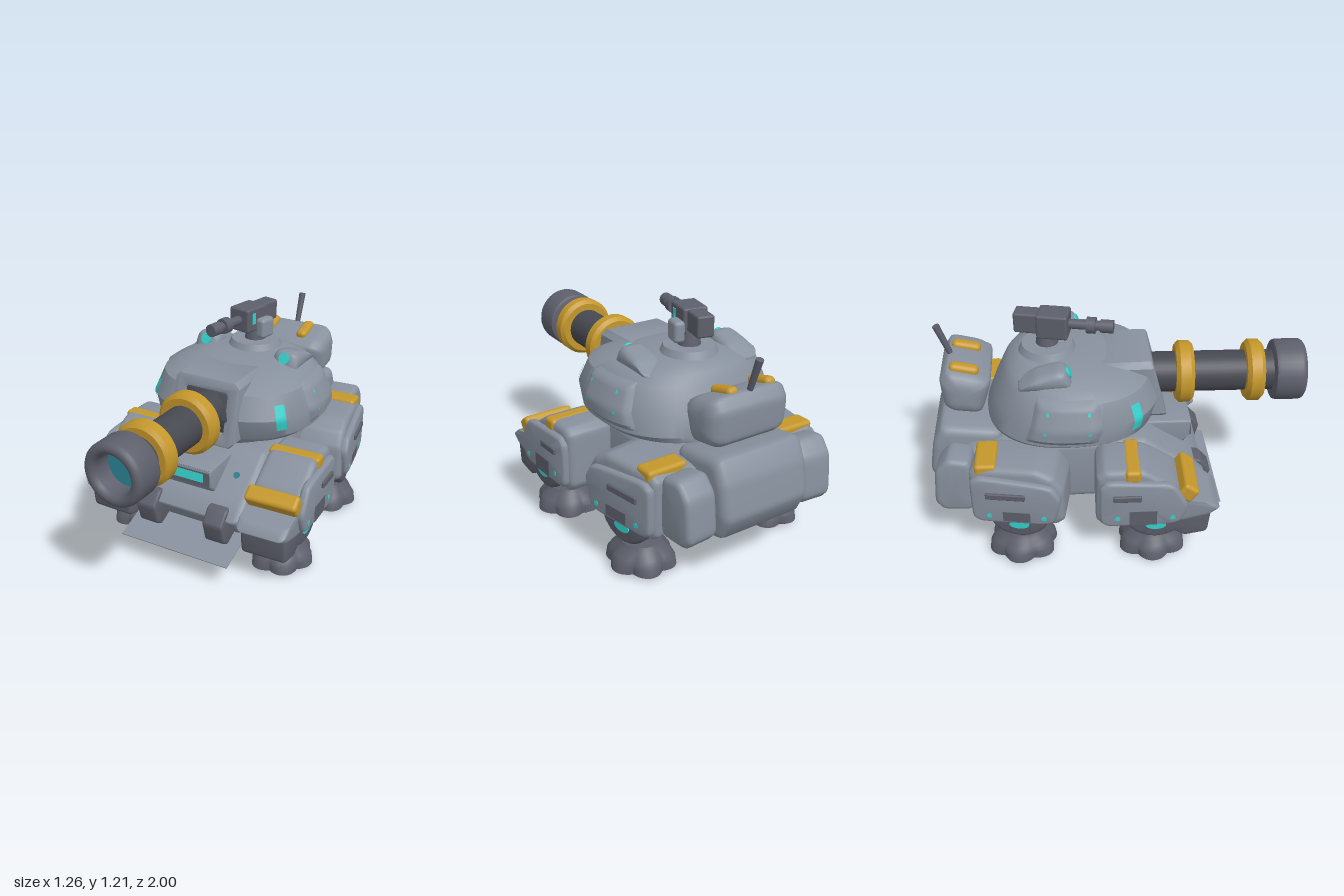
import * as THREE from 'three';
import { toCreasedNormals } from 'three/addons/utils/BufferGeometryUtils.js';
import { RoundedBoxGeometry } from 'three/addons/geometries/RoundedBoxGeometry.js';

const mat = (name, color) => Object.assign(new THREE.MeshStandardMaterial({ color }), { name });

export function createModel() {
  const model = new THREE.Group();
  const armour = mat('armour grey', 0x87909d);
  const dark = mat('dark metal', 0x5d5f6b);
  const black = mat('barrel metal', 0x474951);
  const gold = mat('gold trim', 0xc4972b);
  const teal = mat('teal light', 0x35d0ca);
  const lens = mat('bore lens', 0x2b8496);

  const add = (name, geo, material, pos = [0, 0, 0], rot = [0, 0, 0], parent = model) => {
    const m = new THREE.Mesh(geo, material);
    m.name = name;
    m.position.set(...pos);
    m.rotation.set(...rot);
    parent.add(m);
    return m;
  };
  const rbox = (w, h, d, r = 0.02) => new RoundedBoxGeometry(w, h, d, 3, r);
  // Surface from a rule of u (around) and v (up)
  const grid = (fn, nu, nv) => {
    const pos = [], idx = [];
    for (let j = 0; j <= nv; j++) for (let i = 0; i <= nu; i++) pos.push(...fn(i / nu, j / nv));
    for (let j = 0; j < nv; j++) for (let i = 0; i < nu; i++) {
      const a = j * (nu + 1) + i, c = a + nu + 1;
      idx.push(a, c, a + 1, a + 1, c, c + 1);
    }
    const geo = new THREE.BufferGeometry();
    geo.setAttribute('position', new THREE.Float32BufferAttribute(pos, 3));
    geo.setIndex(idx);
    return toCreasedNormals(geo, 0.6);
  };
  // Side outline of [z, y] points with softened corners, given a rounded thickness across x
  const slab = (corners, width, bevel = 0.025, soft = 0.22) => {
    const v = corners.map(p => new THREE.Vector2(...p)), n = v.length;
    const shape = new THREE.Shape();
    v.forEach((c, i) => {
      const a = c.clone().lerp(v[(i + n - 1) % n], soft), b = c.clone().lerp(v[(i + 1) % n], soft);
      if (i) shape.lineTo(a.x, a.y); else shape.moveTo(a.x, a.y);
      shape.quadraticCurveTo(c.x, c.y, b.x, b.y);
    });
    const pts = shape.getPoints(4);
    if (THREE.ShapeUtils.area(pts) < 0) pts.reverse();
    const box = new THREE.Box2().setFromPoints(pts);
    const mid = box.getCenter(new THREE.Vector2()), half = box.getSize(new THREE.Vector2()).multiplyScalar(0.5);
    const side = [0, 1, 2, 3, 4].map(k => k * Math.PI / 8)
      .map(t => [width / 2 - bevel * (1 - Math.cos(t)), bevel * (1 - Math.sin(t))]);
    const rows = [[-width / 2, null], ...side.map(([x, i]) => [-x, i]), ...side.reverse(), [width / 2, null]];
    return grid((u, w) => {
      const p = pts[Math.round(u * pts.length) % pts.length], [x, inset] = rows[Math.round(w * (rows.length - 1))];
      const k = h => inset === null ? 0 : 1 - inset / h;
      return [x, mid.y + (p.y - mid.y) * k(half.y), mid.x + (p.x - mid.x) * k(half.x)];
    }, pts.length, rows.length - 1);
  };
  // Lathe turned along z from [radius, z] points
  const turnedZ = pts => toCreasedNormals(
    new THREE.LatheGeometry(pts.map(p => new THREE.Vector2(...p)), 40).rotateX(Math.PI / 2), 0.6);
  const ringPts = (inner, outer, z0, z1, b = 0.02) => [
    [inner, z0], [outer - b, z0], [outer, z0 + b], [outer, z1 - b], [outer - b, z1], [inner, z1], [inner, z0]];

  // Hull, rear engine housing and its side boxes
  add('hull', slab([[0.45, 0.34], [0.37, 0.235], [-0.55, 0.235], [-0.78, 0.3], [-0.8, 0.6], [0.12, 0.6],
    [0.21, 0.53], [0.37, 0.42]], 0.66, 0.04, 0.12), armour);
  add('engineHousing', slab([[-0.6, 0.64], [-0.92, 0.685], [-0.975, 0.57], [-1.005, 0.4],
    [-0.95, 0.28], [-0.7, 0.25]], 0.52, 0.05, 0.16), armour);
  for (const s of [1, -1]) {
    add('rearSideBox', slab([[-0.76, 0.6], [-0.88, 0.62], [-0.95, 0.54], [-0.97, 0.34], [-0.93, 0.29], [-0.76, 0.29]],
      0.18, 0.03), armour, [s * 0.425, 0, 0], [0, s * 0.08, 0]);
    add('noseClamp', slab([[0.33, 0.4], [0.43, 0.39], [0.49, 0.32], [0.46, 0.21], [0.42, 0.185], [0.34, 0.22]],
      0.115, 0.012, 0.15), dark, [s * 0.2, 0, 0]);
  }
  add('noseSkirt', new THREE.BoxGeometry(0.64, 0.005, 0.32), armour, [0, 0.19, 0.395], [0.33, 0, 0]);
  // Visor hood leaning over the glacis
  add('visorHood', slab([[0.392, 0.568], [0.385, 0.47], [0.35, 0.43], [0.2, 0.46], [0.12, 0.575]], 0.28, 0.012, 0.04), armour);
  add('visorFrame', new THREE.BoxGeometry(0.265, 0.092, 0.009), dark, [0, 0.521, 0.388], [-0.05, 0, 0]);
  add('visorLight', new THREE.BoxGeometry(0.195, 0.046, 0.009), teal, [0, 0.521, 0.393], [-0.2, 0, 0]);
  add('hullSensor', new THREE.CylinderGeometry(0.017, 0.017, 0.02, 12), lens, [0.217, 0.5, 0.25], [0.95, 0, 0]);
  add('turretRing', new THREE.CylinderGeometry(0.3, 0.3, 0.08, 40), dark, [0, 0.62, -0.17]);

  // Turret shell: rounded outlines stacked upward as [y, half width, front z, back z]
  const levels = [[0.65, 0.001, -0.2, -0.202], [0.65, 0.42, 0.175, -0.69], [0.68, 0.455, 0.19, -0.69],
    [0.78, 0.46, 0.215, -0.65], [0.9, 0.41, 0.165, -0.595], [0.945, 0.345, 0.08, -0.565],
    [0.985, 0.21, -0.1, -0.5], [0.99, 0.001, -0.3, -0.302]];
  const shell = (a, L, off = 0) => {
    const c = Math.cos(a), s = Math.sin(a), e = s > 0 ? 2 / 2.5 : 2 / 2.3;
    const pw = v => Math.sign(v) * Math.abs(v) ** e;
    return [pw(c) * (L[1] + off), L[0], (L[2] + L[3]) / 2 + pw(s) * ((L[2] - L[3]) / 2 + off)];
  };
  const levelAt = y => {
    const i = Math.max(2, levels.findIndex(l => l[0] >= y));
    const t = (y - levels[i - 1][0]) / (levels[i][0] - levels[i - 1][0]);
    return levels[i].map((v, k) => levels[i - 1][k] + (v - levels[i - 1][k]) * t);
  };
  add('turretShell', grid((u, v) => shell(u * Math.PI * 2, levels[Math.round(v * 7)]), 72, 7), armour);
  // Patch that follows the turret wall
  const patch = (s, a0, a1, y0, y1, off, nu = 8, nv = 8) => grid((u, v) => {
    const w = s > 0 ? u : 1 - u, o = typeof off === 'function' ? off(u, v) : off;
    const p = shell(a0 + (a1 - a0) * w, levelAt(y0 + (y1 - y0) * v), o);
    return [p[0] * s, p[1], p[2]];
  }, nu, nv);
  for (const s of [1, -1]) {
    add('turretSidePad', patch(s, -0.55, 0.21, 0.69, 0.92,
      (u, v) => Math.min(1, 7 * Math.min(u, 1 - u, v, 1 - v)) * 0.024 - 0.004, 24, 14), armour);
    add('turretSlitLight', patch(s, 0.6, 0.75, 0.72, 0.855, 0.006), teal);
    for (const [a0, a1] of [[-0.335, -0.305], [0.055, 0.08]])
      for (const y of [0.77, 0.865]) add('padStud', patch(s, a0, a1, y - 0.009, y + 0.009, 0.024, 2, 2), teal);
    // Low sensor humps with forward lights, the right one set further back
    const back = s > 0 ? 0 : -0.06;
    add('sensorHump', slab([[-0.17, 0.92], [-0.21, 1.02], [-0.25, 1.03], [-0.36, 1.0], [-0.45, 0.94], [-0.45, 0.92]],
      0.15, 0.045), armour, [s * 0.255, 0, back]);
    add('sensorLight', new THREE.CylinderGeometry(0.03, 0.03, 0.012, 20), teal, [s * 0.255, 0.996, back - 0.197], [1.2, 0, 0]);
  }

  // Mantlet frame with an open square mouth
  const square = (C, x, y0, y1, c) => {
    const p = new C();
    p.moveTo(-x + c, y0).lineTo(x - c, y0).lineTo(x, y0 + c).lineTo(x, y1 - c).lineTo(x - c, y1)
      .lineTo(-x + c, y1).lineTo(-x, y1 - c).lineTo(-x, y0 + c).closePath();
    return p;
  };
  const mouth = square(THREE.Shape, 0.175, 0.65, 0.96, 0.02);
  mouth.holes.push(square(THREE.Path, 0.135, 0.685, 0.925, 0.02));
  const frame = new THREE.ExtrudeGeometry(mouth, { depth: 0.24, bevelSize: 0.015, bevelThickness: 0.015, bevelSegments: 2 });
  const fp = frame.attributes.position;
  for (let i = 0; i < fp.count; i++) fp.setZ(i, fp.getZ(i) - (fp.getY(i) - 0.65) * 0.25);
  add('mantletFrame', toCreasedNormals(frame, 0.6), armour, [0, 0, -0.005]);
  add('mantletRecess', slab([[0, 0.67], [0.2, 0.67], [0.22, 0.78], [0.174, 0.9], [0.145, 0.94], [0, 0.94]], 0.28, 0.003, 0.03), black);

  // Main gun, turned slightly to its right
  const gun = new THREE.Group();
  gun.name = 'mainGun';
  gun.position.set(0.014, 0.8, 0);
  gun.rotation.y = -0.038;
  model.add(gun);
  add('barrel', new THREE.CylinderGeometry(0.108, 0.108, 0.82, 36).rotateX(Math.PI / 2), black, [0, 0, 0.45], [0, 0, 0], gun);
  for (const z of [0.355, 0.725])
    add('barrelBand', turnedZ(ringPts(0.1, 0.165, -0.047, 0.047)), gold, [0, 0, z], [0, 0, 0], gun);
  const lip = [0, 1, 2, 3, 4, 5, 6, 7, 8].map(k => k * Math.PI / 8)
    .map(t => [0.132 + 0.031 * Math.cos(t), 0.962 + 0.032 * Math.sin(t)]);
  add('muzzle', turnedZ([[0.1, 0.825], [0.145, 0.825], [0.158, 0.832], [0.163, 0.85], ...lip, [0.101, 0.86]]), dark,
    [0, 0, 0], [0, 0, 0], gun);
  add('boreLens', new THREE.CircleGeometry(0.105, 36), lens, [0, 0, 0.88], [0, 0, 0], gun);

  // Cupola and roof gun
  add('cupola', new THREE.CylinderGeometry(0.13, 0.155, 0.05, 36), armour, [0, 0.995, -0.36]);
  add('roofGunPost', new THREE.CylinderGeometry(0.045, 0.06, 0.09, 20), dark, [0, 1.055, -0.36]);
  const roofGun = new THREE.Group();
  roofGun.name = 'roofGun';
  roofGun.position.set(-0.015, 1.145, -0.37);
  roofGun.rotation.y = -0.22;
  model.add(roofGun);
  const part = (n, g, m, p, r) => add(n, g, m, p, r, roofGun);
  part('receiver', rbox(0.13, 0.13, 0.16, 0.012), dark, [0, 0, 0.05]);
  part('breech', rbox(0.09, 0.11, 0.14, 0.012), dark, [0, 0.005, -0.08]);
  for (const [r, z0, z1] of [[0.025, 0.1, 0.35], [0.042, 0.22, 0.265], [0.034, 0.29, 0.355]])
    part('roofBarrel', new THREE.CylinderGeometry(r, r, z1 - z0, 16).rotateX(Math.PI / 2), dark, [0, 0, (z0 + z1) / 2]);
  part('sightLight', new THREE.BoxGeometry(0.008, 0.06, 0.025), teal, [0.066, 0.01, 0.08]);
  part('ammoBox', rbox(0.06, 0.11, 0.1), armour, [0.085, -0.05, 0.01]);

  // Rear turret basket with handles and aerial
  add('basket', slab([[-0.65, 0.88], [-0.72, 0.925], [-0.87, 0.965], [-0.915, 0.9], [-0.905, 0.75], [-0.87, 0.715],
    [-0.71, 0.69]], 0.46, 0.08), armour, [0.037, 0, 0]);
  for (const x of [-0.105, 0.115]) add('basketTrim', rbox(0.062, 0.055, 0.15, 0.024), gold, [x, 0.942, -0.785], [0.24, 0, 0]);
  add('aerial', new THREE.CylinderGeometry(0.019, 0.015, 0.17, 14), dark, [0.03, 1.04, -0.89], [-0.33, 0, 0]);

  // Legs: armoured pods over round hubs, one at each corner
  const circle = (r, n = 20) => Array.from({ length: n }, (_, i) =>
    [r * Math.cos(i * 2 * Math.PI / n), r * Math.sin(i * 2 * Math.PI / n)]);
  const foot = grid((u, v) => {
    const prof = [[0.001, 0.03], [0.09, 0.02], [0.15, 0], [0.173, 0.015], [0.166, 0.06], [0.145, 0.09],
      [0.112, 0.118], [0.098, 0.14], [0.001, 0.145]];
    const [r, y] = prof[Math.round(v * 8)], a = u * Math.PI * 2;
    const lobe = 1 - 0.2 * (1 - y / 0.145) * (1 - Math.abs(Math.cos(3 * a)));
    return [Math.cos(a) * r * lobe, y, Math.sin(a) * r * lobe * 1.08];
  }, 60, 8);
  const frontPod = [[0.49, 0.34], [0.44, 0.3], [0.3, 0.26], [-0.11, 0.245], [-0.15, 0.29], [-0.145, 0.57],
    [-0.1, 0.605], [0.09, 0.605], [0.25, 0.5], [0.33, 0.41], [0.44, 0.385]].map(p => [p[0] - 0.16, p[1]]);
  const rearPod = [[0.24, 0.48], [0.24, 0.29], [0.2, 0.255], [-0.2, 0.255], [-0.24, 0.29], [-0.24, 0.57], [-0.2, 0.605],
    [0.1, 0.605], [0.19, 0.56]];
  const plates = {
    front: [[0.08, 0.54], [-0.25, 0.56], [-0.29, 0.52], [-0.29, 0.3], [-0.25, 0.27], [0.12, 0.28], [0.16, 0.4]],
    rear: [[0.18, 0.53], [-0.18, 0.57], [-0.23, 0.54], [-0.23, 0.31], [-0.19, 0.28], [0.19, 0.28], [0.23, 0.45]],
  };
  for (const s of [1, -1]) for (const end of ['front', 'rear']) {
    const isFront = end === 'front';
    const leg = new THREE.Group();
    leg.name = end + 'Leg';
    leg.position.set(s * (isFront ? 0.455 : 0.398), 0, isFront ? 0.16 : -0.525);
    leg.rotation.y = s * (isFront ? 0.03 : 0.17);
    model.add(leg);
    const put = (n, g, m, p, r) => add(n, g, m, p, r, leg);
    put('pod', slab(isFront ? frontPod : rearPod, 0.27, 0.035, 0.16), armour);
    put('sidePlate', slab(plates[end], 0.05, 0.02), armour, [s * 0.14, 0, 0]);
    put('hub', slab(circle(0.167), 0.25, 0.025), dark, [0, 0.318, 0]);
    put('foot', foot, dark, [isFront ? -s * 0.015 : s * 0.01, 0, -0.01]);
    put('hubLight', new THREE.CylinderGeometry(0.052, 0.052, 0.008, 20).rotateZ(Math.PI / 2).scale(1, 0.5, 1), teal,
      [s * 0.126, 0.243, 0]);
    put('vent', rbox(0.02, 0.035, isFront ? 0.14 : 0.2, 0.006), dark, [s * 0.168, 0.465, isFront ? -0.15 : -0.05]);
    put('hubRecess', new THREE.BoxGeometry(0.008, isFront ? 0.09 : 0.06, 0.14), dark, [s * 0.163, 0.33, isFront ? -0.07 : 0]);
    for (const z of isFront ? [0.08, -0.2] : [0.14, -0.14])
      put('podStud', new THREE.CylinderGeometry(0.014, 0.014, 0.008, 12), teal, [s * 0.163, 0.33, z], [0, 0, Math.PI / 2]);
    put('topBand', rbox(isFront ? 0.285 : 0.22, 0.07, isFront ? 0.08 : 0.11), gold,
      [isFront ? 0 : s * 0.02, isFront ? 0.573 : 0.585, isFront ? -0.12 : -0.165], [0, isFront ? 0 : -s * 0.15, 0]);
    if (isFront) {
      put('slopeBand', rbox(0.285, 0.09, 0.09), gold, [0, 0.457, 0.157], [0.62, 0, 0]);
      put('shinGuard', slab([[0.285, 0.33], [0.27, 0.18], [0.15, 0.155], [0.08, 0.2], [0.08, 0.33]], 0.25, 0.02, 0.15), dark);
    }
  }
  return model;
}
